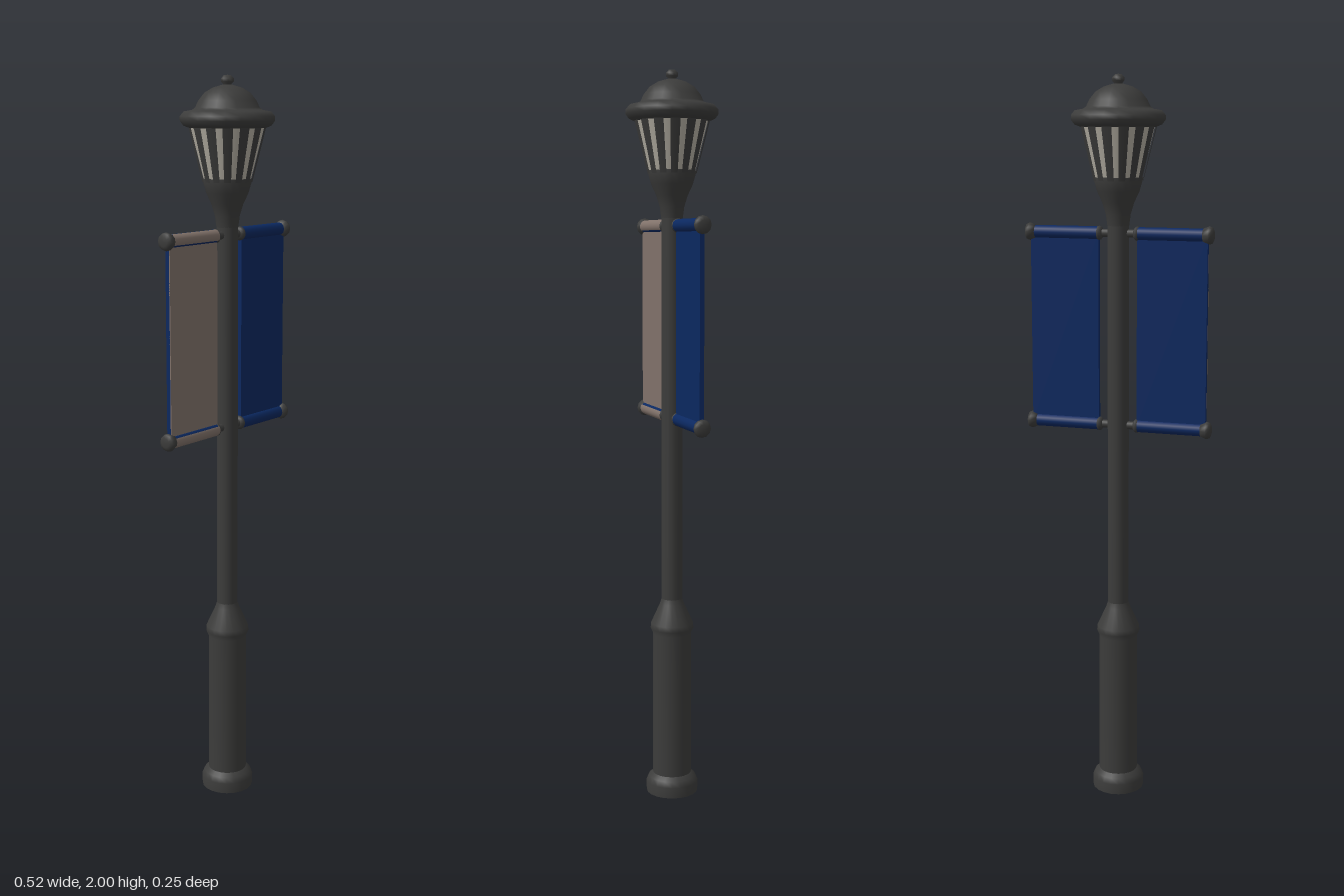
import * as THREE from 'three';

const mat = (name, color, side = THREE.FrontSide) => {
  const m = new THREE.MeshStandardMaterial({ color, side });
  m.name = name;
  return m;
};

export function createModel() {
  const iron = mat('dark iron', 0x3c3c3b);
  const blue = mat('navy cloth', 0x0b2860);
  const tan = mat('tan cloth', 0x81726a);
  const glass = mat('pale glass', 0xb5b0a4, THREE.DoubleSide);

  const root = new THREE.Group();
  root.name = 'streetLamp';

  const add = (parent, name, geometry, material, x = 0, y = 0, z = 0) => {
    const mesh = new THREE.Mesh(geometry, material);
    mesh.name = name;
    mesh.position.set(x, y, z);
    parent.add(mesh);
    return mesh;
  };
  const lathe = (points, segments = 20) =>
    new THREE.LatheGeometry(points.map(([r, y]) => new THREE.Vector2(r, y)), segments);

  // Post: flared foot, wide pedestal, slim shaft
  add(root, 'foot', lathe([[0, 0], [0.072, 0], [0.072, 0], [0.073, 0.03], [0.066, 0.045], [0.054, 0.055]]), iron);
  add(root, 'pedestal', lathe([[0.054, 0.05], [0.053, 0.46], [0.06, 0.475], [0.059, 0.49], [0.034, 0.545], [0.029, 0.56]]), iron);
  add(root, 'shaft', new THREE.CylinderGeometry(0.029, 0.029, 1.08, 16, 1, true), iron, 0, 1.09);

  // Lantern: neck, glass cone, ribs, cap and finial
  const lantern = new THREE.Group();
  lantern.name = 'lantern';
  root.add(lantern);
  add(lantern, 'neck', lathe([[0.029, 1.61], [0.033, 1.64], [0.042, 1.67], [0.056, 1.7], [0.066, 1.735], [0.058, 1.74], [0, 1.74]]), iron);
  add(lantern, 'glass', new THREE.CylinderGeometry(0.098, 0.061, 0.145, 20, 1, true), glass, 0, 1.803);
  const ribs = 14;
  for (let i = 0; i < ribs; i++) {
    const rib = new THREE.CylinderGeometry(0.104, 0.066, 0.15, 3, 1, true, -0.135, 0.27);
    const mesh = add(lantern, 'rib', rib, iron, 0, 1.803);
    mesh.rotation.y = (i / ribs) * Math.PI * 2;
  }
  add(lantern, 'cap', lathe([
    [0, 1.866], [0.1, 1.866], [0.115, 1.872], [0.124, 1.884], [0.124, 1.896], [0.114, 1.908],
    [0.092, 1.912], [0.084, 1.918], [0.076, 1.935], [0.06, 1.955], [0.038, 1.968], [0.014, 1.975], [0, 1.976],
  ]), iron);
  add(lantern, 'finial', lathe([[0.011, 1.97], [0.011, 1.977], [0.017, 1.983], [0.017, 1.991], [0.009, 1.999], [0, 2]], 8), iron);

  // Banners: cloth between two sleeved rods on each side of the shaft
  const top = 1.59, bottom = 1.07, inner = 0.054, outer = 0.247;
  const width = outer - inner, mid = (inner + outer) / 2;
  for (const side of [-1, 1]) {
    const banner = new THREE.Group();
    banner.name = side < 0 ? 'rightBanner' : 'leftBanner';
    root.add(banner);
    add(banner, 'cloth', new THREE.BoxGeometry(width, top - bottom, 0.012), blue, side * mid, (top + bottom) / 2);

    for (const y of [top, bottom]) {
      const sleeve = add(banner, 'sleeve', new THREE.CylinderGeometry(0.0175, 0.0175, width, 12), blue, side * mid, y);
      sleeve.rotation.z = Math.PI / 2;
      const rod = add(banner, 'rod', new THREE.CylinderGeometry(0.011, 0.011, 0.05, 10), iron, side * 0.045, y);
      rod.rotation.z = Math.PI / 2;
      const collar = add(banner, 'collar', new THREE.SphereGeometry(0.019, 10, 8), iron, side * 0.053, y);
      collar.scale.x = 0.6;
      const knob = add(banner, 'endKnob', lathe([[0, -0.014], [0.018, -0.014], [0.024, 0.002], [0.021, 0.01], [0.012, 0.014], [0, 0.014]], 12), iron, side * 0.248, y);
      knob.rotation.z = -side * Math.PI / 2;
    }

    // Tan face on the front of one banner, wrapping over the sleeves
    if (side < 0) {
      add(banner, 'clothFace', new THREE.BoxGeometry(width, top - bottom, 0.003), tan, side * mid, (top + bottom) / 2, 0.007);
      for (const y of [top, bottom]) {
        // Front quarter of the sleeve, centred on +z and shifted towards the cloth
        const start = y === top ? -0.6 : -1.3;
        const wrap = add(banner, 'sleeveFace', new THREE.CylinderGeometry(0.0185, 0.0185, width, 10, 1, true, start, 1.9), tan, side * mid, y);
        wrap.rotation.z = Math.PI / 2;
      }
    }
  }
  return root;
}
